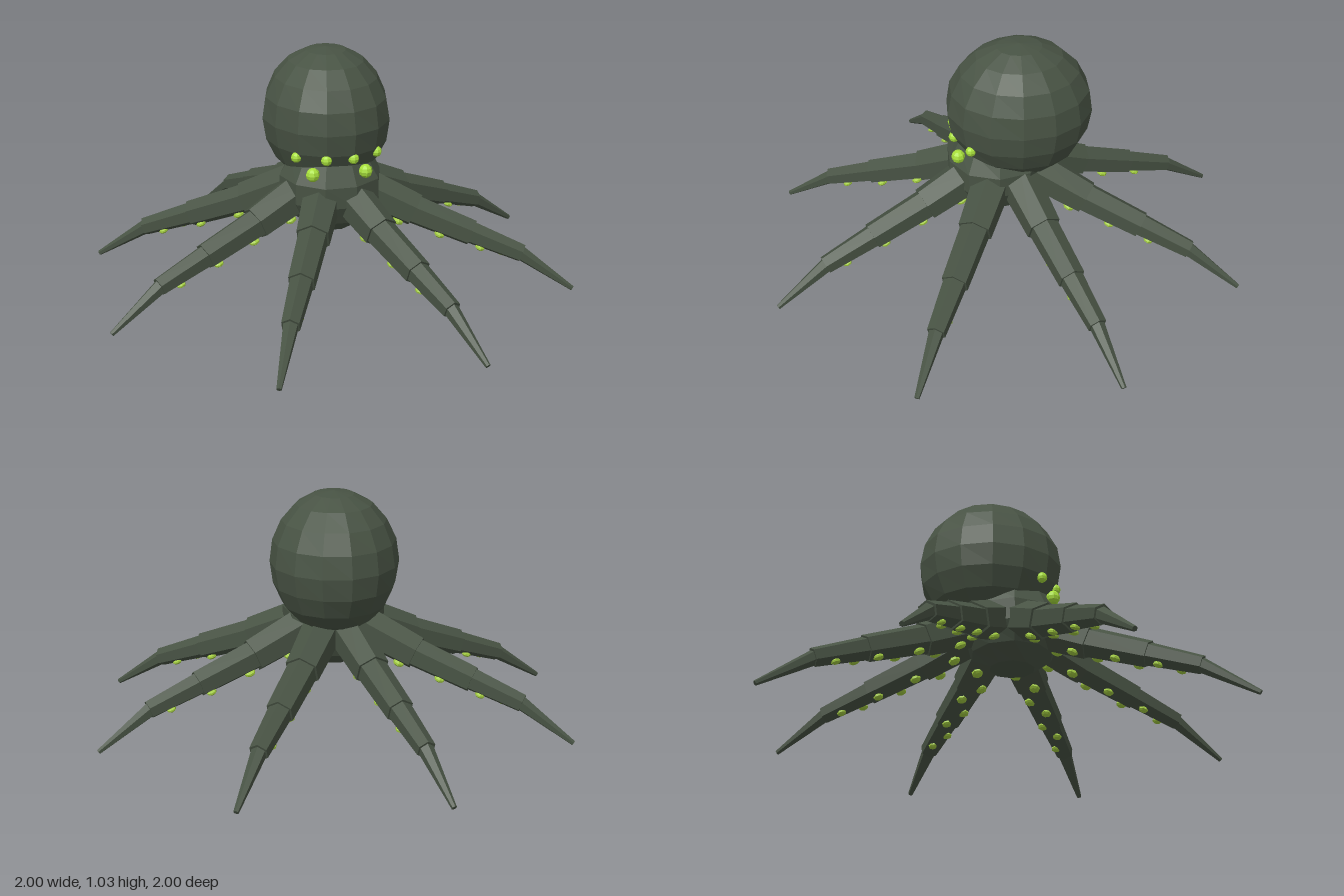
import * as THREE from 'three';

const skin = new THREE.MeshStandardMaterial({ color: 0x485344, flatShading: true, name: 'dark olive skin' });
const eyeGreen = new THREE.MeshStandardMaterial({ color: 0xa8e03c, flatShading: true, name: 'lime eyes' });
const suckerGreen = new THREE.MeshStandardMaterial({ color: 0xa2cc40, flatShading: true, name: 'pale green suckers' });

function add(parent, name, geometry, material, x = 0, y = 0, z = 0) {
  const mesh = new THREE.Mesh(geometry, material);
  mesh.name = name;
  mesh.position.set(x, y, z);
  parent.add(mesh);
  return mesh;
}

// Faceted ellipsoid with slightly uneven vertices
function lumpy(rx, ry, rz, cols, rows, amount) {
  const g = new THREE.SphereGeometry(1, cols, rows);
  const p = g.attributes.position;
  for (let i = 0; i < p.count; i++) {
    const x = p.getX(i), y = p.getY(i), z = p.getZ(i);
    const k = 1 + amount * Math.sin(5.3 * x + 2.1 * y) * Math.cos(4.7 * z - 3.1 * y);
    p.setXYZ(i, x * rx * k, y * ry * k, z * rz * k);
  }
  g.computeVertexNormals();
  return g;
}

// Leg joints as [distance from centre, height], with start and end radius of each segment
const joints = [[0.10, 0.46], [0.37, 0.345], [0.62, 0.255], [0.84, 0.175], [1.076, 0.021]];
const radii = [[0.09, 0.077], [0.068, 0.06], [0.053, 0.041], [0.035, 0.011]];

function makeLeg(angle) {
  const leg = new THREE.Group();
  leg.name = 'leg';
  const up = new THREE.Vector3(0, 1, 0);

  // Tapered, overlapping hexagonal segments with a ridge along the top
  radii.forEach(([r0, r1], i) => {
    const a = new THREE.Vector3(...joints[i], 0);
    const b = new THREE.Vector3(...joints[i + 1], 0);
    const dir = b.clone().sub(a).normalize();
    if (i > 0) a.addScaledVector(dir, -0.02);
    if (i < 3) b.addScaledVector(dir, 0.012);
    const g = new THREE.CylinderGeometry(r1, r0, a.distanceTo(b), 6);
    g.rotateY(Math.PI / 6);
    const mid = a.clone().add(b).multiplyScalar(0.5);
    const seg = add(leg, 'legSegment', g, skin, mid.x, mid.y, 0);
    seg.quaternion.setFromUnitVectors(up, dir);
  });

  // Flat suckers zigzagging along the underside
  for (let n = 0; n < 7; n++) {
    const d = 0.25 + n * 0.087;
    let i = 0;
    while (d > joints[i + 1][0]) i++;
    const [x0, y0] = joints[i], [x1, y1] = joints[i + 1];
    const t = (d - x0) / (x1 - x0);
    const r = THREE.MathUtils.lerp(radii[i][0], radii[i][1], t);
    const side = (n % 2 ? 1 : -1) * r * 0.36;
    const slope = Math.atan2(y1 - y0, x1 - x0);
    const drop = r * 0.87;
    const s = add(leg, 'sucker', new THREE.SphereGeometry(0.027 - n * 0.001, 7, 5), suckerGreen,
      d + Math.sin(slope) * drop, THREE.MathUtils.lerp(y0, y1, t) - Math.cos(slope) * drop, side);
    s.scale.y = 0.55;
    s.rotation.z = slope;
  }
  leg.rotation.y = angle;
  return leg;
}

export function createModel() {
  const model = new THREE.Group();
  model.name = 'octopus';

  // Bulbous head leaning back over a smaller body
  add(model, 'head', lumpy(0.277, 0.307, 0.315, 14, 10, 0.01), skin, 0, 0.738, -0.065);
  add(model, 'body', lumpy(0.228, 0.21, 0.228, 10, 7, 0.015), skin, 0, 0.46, 0.03);

  // Eight legs, evenly spread
  for (let k = 0; k < 8; k++) model.add(makeLeg(Math.PI / 8 + k * Math.PI / 4));

  // Six eyes in mirrored pairs
  for (const s of [-1, 1]) {
    add(model, 'largeEye', new THREE.SphereGeometry(0.03, 8, 6), eyeGreen, s * 0.114, 0.562, 0.202);
    add(model, 'innerEye', new THREE.SphereGeometry(0.024, 8, 6), eyeGreen, s * 0.058, 0.627, 0.216);
    add(model, 'outerEye', new THREE.SphereGeometry(0.023, 8, 6), eyeGreen, s * 0.174, 0.627, 0.15);
  }
  return model;
}
